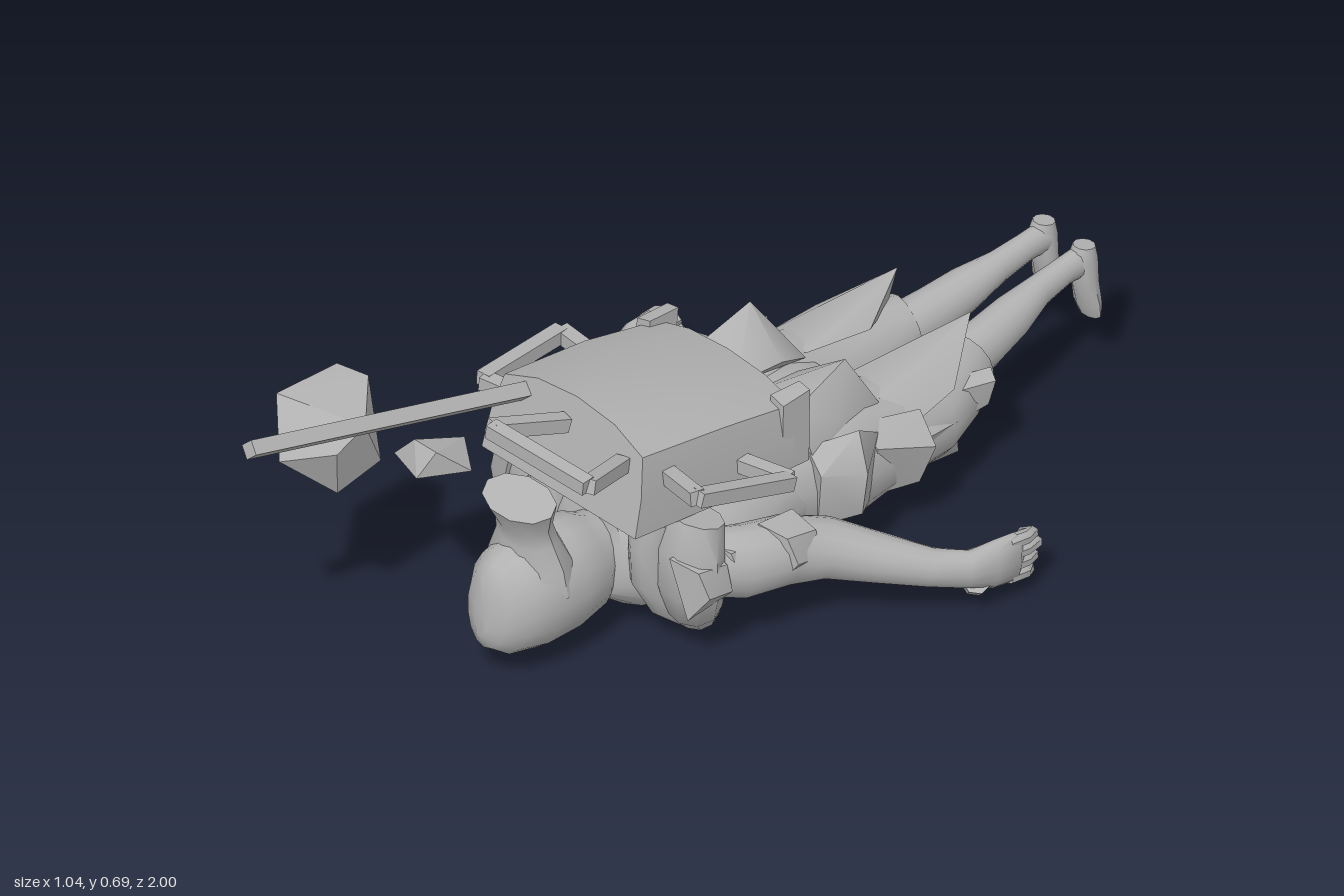
import * as THREE from 'three';
import { toCreasedNormals } from 'three/addons/utils/BufferGeometryUtils.js';
import { ConvexGeometry } from 'three/addons/geometries/ConvexGeometry.js';

const V = (p) => new THREE.Vector3(p[0], p[1], p[2]);

export function createModel() {
  const model = new THREE.Group();
  model.name = 'lyingTraveller';
  const clay = new THREE.MeshStandardMaterial({ color: 0xb2b2b2 });
  clay.name = 'plain grey';

  function add(name, geometry, crease = 0.8) {
    const mesh = new THREE.Mesh(toCreasedNormals(geometry, crease), clay);
    mesh.name = name;
    model.add(mesh);
  }

  // Skin oval rings along a path; each ring is [x, y, z, half width, half height]
  function loft(name, rings, { sides = 14, side = 1, up = [0, 1, 0], phase = 0, crease = 0.8 } = {}) {
    const pts = rings.map((r) => new THREE.Vector3(r[0] * side, r[1], r[2]));
    const last = pts.length - 1, pos = [], idx = [];
    pts.forEach((c, i) => {
      const t = pts[Math.min(i + 1, last)].clone().sub(pts[Math.max(i - 1, 0)]).normalize();
      const s = V(up).cross(t).normalize(), u = t.clone().cross(s);
      for (let j = 0; j < sides; j++) {
        const a = phase + (j / sides) * Math.PI * 2;
        const p = c.clone().addScaledVector(s, Math.cos(a) * rings[i][3])
          .addScaledVector(u, Math.sin(a) * rings[i][4]);
        pos.push(p.x, p.y, p.z);
      }
    });
    for (let i = 0; i < last; i++) for (let j = 0; j < sides; j++) {
      const k = (j + 1) % sides, a = i * sides + j, b = i * sides + k;
      idx.push(a, b, a + sides, b, b + sides, a + sides);
    }
    const first = pos.length / 3;
    [pts[0], pts[last]].forEach((p) => pos.push(p.x, p.y, p.z));
    for (let j = 0; j < sides; j++) {
      const k = (j + 1) % sides;
      idx.push(first, k, j, first + 1, last * sides + j, last * sides + k);
    }
    const g = new THREE.BufferGeometry();
    g.setAttribute('position', new THREE.Float32BufferAttribute(pos, 3));
    g.setIndex(idx);
    add(name, g, crease);
  }

  // Faceted solid spanning a few corners
  const hull = (name, pts, side = 1, crease = 0.3) =>
    add(name, new ConvexGeometry(pts.map((p) => new THREE.Vector3(p[0] * side, p[1], p[2]))), crease);

  // Square bar between two points
  const bar = (name, a, b, w = 0.028, phase = Math.PI / 4) =>
    loft(name, [[...a, w * 0.71, w * 0.71], [...b, w * 0.71, w * 0.71]], { sides: 4, phase, crease: 0.3 });

  // Torso, prone with the chest on the ground
  loft('torso', [
    [0, 0.19, 0.28, 0.09, 0.1], [0, 0.18, 0.22, 0.17, 0.13], [0, 0.165, 0.12, 0.205, 0.135],
    [0, 0.155, 0.02, 0.2, 0.142], [0, 0.16, -0.08, 0.17, 0.14], [0, 0.18, -0.18, 0.18, 0.145],
    [0, 0.19, -0.3, 0.18, 0.125], [0, 0.2, -0.36, 0.13, 0.09],
  ], { sides: 20 });

  // Head and neck
  loft('head', [
    [0, 0.185, 0.2, 0.07, 0.07], [0, 0.18, 0.275, 0.07, 0.08], [0, 0.17, 0.305, 0.09, 0.11],
    [0, 0.167, 0.37, 0.1, 0.122], [0, 0.168, 0.45, 0.1, 0.122], [0, 0.172, 0.51, 0.085, 0.112],
    [0, 0.177, 0.545, 0.055, 0.09], [0, 0.179, 0.56, 0.02, 0.06],
  ], { sides: 16 });
  hull('brow', [[-0.07, 0.1, 0.49], [0.07, 0.1, 0.49], [-0.06, 0.08, 0.44], [0.06, 0.08, 0.44],
    [0, 0.06, 0.52], [0, 0.045, 0.38], [0, 0.15, 0.45]], 1, 1);
  loft('topknot', [
    [0, 0.19, 0.43, 0.1, 0.08], [0, 0.25, 0.435, 0.092, 0.065], [0, 0.3, 0.442, 0.073, 0.045],
    [0, 0.335, 0.45, 0.066, 0.042], [0, 0.388, 0.463, 0.087, 0.055],
  ], { sides: 10, up: [0, 0, 1] });

  // Backpack: domed section, taller at the head end
  const section = [[-1, 0], [-0.98, 0.4], [-0.9, 0.8], [-0.5, 0.95], [0, 1], [0.5, 0.95], [0.9, 0.8], [0.98, 0.4], [1, 0]];
  const packPoints = [];
  [[-0.075, -0.085, 0.307, 0.466, 0.208], [0.12, 0.1, 0.325, 0.515, 0.215], [0.36, 0.31, 0.35, 0.55, 0.21]]
    .forEach(([zLow, zTop, low, top, w]) => section.forEach(([x, h]) =>
      packPoints.push([x * w, low + (top - low) * h, zLow + (zTop - zLow) * h])));
  hull('backpack', packPoints, 1, 0.9);
  bar('packSill', [-0.18, 0.322, -0.095], [0.18, 0.322, -0.095], 0.03);

  // Carrying frames on three edges of the pack
  const frames = {
    topFrame: [[-0.01, 0.495, 0.33], [-0.045, 0.545, 0.495], [0.195, 0.522, 0.47], [0.145, 0.48, 0.33]],
    leftFrame: [[0.19, 0.385, 0.08], [0.318, 0.39, 0.055], [0.308, 0.463, 0.29], [0.19, 0.445, 0.26]],
    rightFrame: [[-0.19, 0.41, 0.065], [-0.31, 0.412, 0.055], [-0.285, 0.428, 0.285], [-0.19, 0.42, 0.26]],
  };
  for (const [name, p] of Object.entries(frames))
    for (let i = 0; i < 3; i++) bar(name, p[i], p[i + 1], 0.03);

  // Pole with two hanging shards
  bar('pole', [-0.132, 0.495, 0.3], [-0.188, 0.67, 0.994], 0.03, 0);
  hull('largeShard', [
    [-0.315, 0.64, 0.8], [-0.255, 0.62, 0.615], [-0.315, 0.63, 0.64], [-0.175, 0.585, 0.7],
    [-0.18, 0.55, 0.77], [-0.255, 0.535, 0.85], [-0.21, 0.43, 0.74], [-0.2, 0.46, 0.635],
  ]);
  hull('smallShard', [
    [-0.21, 0.44, 0.51], [-0.15, 0.515, 0.595], [-0.09, 0.515, 0.595], [-0.055, 0.46, 0.535],
    [-0.12, 0.44, 0.515], [-0.2, 0.46, 0.6], [-0.11, 0.46, 0.628], [-0.13, 0.475, 0.482],
  ]);

  for (const side of [1, -1]) {
    // Rear corner plates of the pack
    hull('packCorner', [
      [0.165, 0.31, -0.1], [0.208, 0.305, -0.1], [0.165, 0.46, -0.115], [0.195, 0.455, -0.115],
      [0.165, 0.31, -0.03], [0.208, 0.31, -0.03], [0.165, 0.465, -0.04], [0.2, 0.455, -0.04],
    ], side);
    // Shoulder harness: broad strap and narrower inner strap, curving under the chest
    loft('shoulderStrap', [
      [0.207, 0.327, 0.2, 0.065, 0.05], [0.207, 0.26, 0.215, 0.078, 0.058], [0.203, 0.18, 0.212, 0.08, 0.058],
      [0.185, 0.11, 0.185, 0.062, 0.055], [0.165, 0.055, 0.15, 0.04, 0.04],
    ], { side, sides: 10, up: [0, 0, 1] });
    loft('innerStrap', [
      [0.15, 0.315, 0.235, 0.04, 0.045], [0.137, 0.25, 0.25, 0.045, 0.042], [0.132, 0.17, 0.242, 0.045, 0.042],
      [0.14, 0.1, 0.205, 0.043, 0.042], [0.15, 0.05, 0.16, 0.033, 0.032],
    ], { side, sides: 10, up: [0, 0, 1] });
    // Upper arm plates
    for (const [z, w] of [[0.22, 0.28], [0.13, 0.275], [0.02, 0.315]])
      hull('armPlate', [
        [w - 0.06, 0.27, z + 0.06], [w, 0.255, z + 0.04], [w + 0.02, 0.2, z + 0.03], [w - 0.02, 0.14, z + 0.05],
        [w - 0.06, 0.26, z - 0.03], [w, 0.24, z - 0.035], [w + 0.01, 0.18, z - 0.04], [w - 0.04, 0.13, z - 0.03],
      ], side, 0.7);
    // Arm swept back along the body
    loft('arm', [
      [0.2, 0.21, 0.2, 0.05, 0.07], [0.25, 0.2, 0.12, 0.065, 0.075], [0.265, 0.185, 0.02, 0.065, 0.07],
      [0.3, 0.168, -0.06, 0.06, 0.06], [0.37, 0.145, -0.13, 0.047, 0.05], [0.435, 0.122, -0.2, 0.035, 0.04],
      [0.475, 0.108, -0.26, 0.03, 0.04], [0.493, 0.104, -0.31, 0.027, 0.053], [0.499, 0.1, -0.36, 0.022, 0.054],
      [0.495, 0.1, -0.375, 0.014, 0.04],
    ], { side });
    // Curled fingers and thumb
    for (let i = 0; i < 4; i++) {
      const y = 0.138 - i * 0.026, reach = -0.42 + Math.abs(i - 1) * 0.01;
      loft('finger', [
        [0.498, y, -0.345, 0.017, 0.015], [0.503, y - 0.003, -0.385, 0.016, 0.015],
        [0.495, y - 0.01, reach, 0.014, 0.014], [0.468, y - 0.02, reach + 0.003, 0.009, 0.009],
      ], { side, sides: 7 });
    }
    loft('thumb', [
      [0.485, 0.08, -0.275, 0.028, 0.028], [0.463, 0.055, -0.29, 0.026, 0.026],
      [0.442, 0.033, -0.305, 0.02, 0.02], [0.422, 0.013, -0.318, 0.011, 0.011],
    ], { side, sides: 7 });

    // Trouser leg, bare calf and foot
    loft('trouserLeg', [
      [0.07, 0.19, -0.1, 0.08, 0.11], [0.09, 0.2, -0.18, 0.115, 0.145], [0.105, 0.195, -0.28, 0.12, 0.14],
      [0.105, 0.185, -0.38, 0.11, 0.112], [0.11, 0.185, -0.48, 0.105, 0.1], [0.1, 0.193, -0.56, 0.085, 0.085],
      [0.082, 0.205, -0.635, 0.062, 0.063],
    ], { side });
    loft('calf', [
      [0.075, 0.203, -0.6, 0.048, 0.058], [0.07, 0.21, -0.69, 0.045, 0.055], [0.063, 0.228, -0.77, 0.042, 0.046],
      [0.055, 0.245, -0.85, 0.028, 0.034], [0.053, 0.256, -0.92, 0.024, 0.03], [0.053, 0.258, -0.97, 0.026, 0.032],
    ], { side });
    loft('foot', [
      [0.055, 0.293, -0.972, 0.022, 0.022], [0.055, 0.265, -0.968, 0.028, 0.032], [0.055, 0.21, -0.974, 0.028, 0.026],
      [0.056, 0.16, -0.98, 0.034, 0.02], [0.056, 0.13, -0.986, 0.029, 0.014],
    ], { side, sides: 10, up: [0, 0, 1] });

    // Layered skirt flaps round the hips
    hull('backFlap', [
      [0.02, 0.35, -0.13], [0.14, 0.37, -0.13], [0.02, 0.34, -0.25], [0.13, 0.415, -0.27],
      [0.18, 0.33, -0.2], [0.16, 0.3, -0.33], [0.04, 0.3, -0.33], [0.18, 0.27, -0.14],
    ], side, 0.9);
    hull('tailFlap', [
      [0.05, 0.3, -0.34], [0.15, 0.3, -0.34], [0.2, 0.24, -0.38], [0.19, 0.26, -0.5],
      [0.1, 0.33, -0.63], [0.04, 0.28, -0.5], [0.1, 0.25, -0.6],
    ], side, 0.9);
    hull('hipFlap', [
      [0.16, 0.29, -0.14], [0.21, 0.25, -0.13], [0.265, 0.25, -0.2], [0.22, 0.32, -0.22],
      [0.24, 0.14, -0.21], [0.18, 0.11, -0.15], [0.18, 0.12, -0.3], [0.2, 0.27, -0.29],
    ], side, 0.9);
    hull('thighFlap', [
      [0.17, 0.29, -0.26], [0.22, 0.25, -0.27], [0.26, 0.22, -0.385], [0.21, 0.28, -0.39],
      [0.23, 0.13, -0.37], [0.17, 0.1, -0.3], [0.17, 0.15, -0.42],
    ], side, 0.9);
    hull('lowerFlap', [
      [0.17, 0.25, -0.36], [0.22, 0.21, -0.4], [0.21, 0.2, -0.49], [0.16, 0.26, -0.5],
      [0.18, 0.1, -0.52], [0.14, 0.085, -0.51], [0.15, 0.09, -0.38],
    ], side, 0.9);
    // Loose tab beside the knee
    hull('kneeTab', [
      [0.14, 0.25, -0.5], [0.17, 0.24, -0.49], [0.17, 0.245, -0.615], [0.2, 0.235, -0.6],
      [0.14, 0.16, -0.5], [0.17, 0.16, -0.5], [0.175, 0.18, -0.6], [0.19, 0.18, -0.59],
    ], side);
  }
  return model;
}
